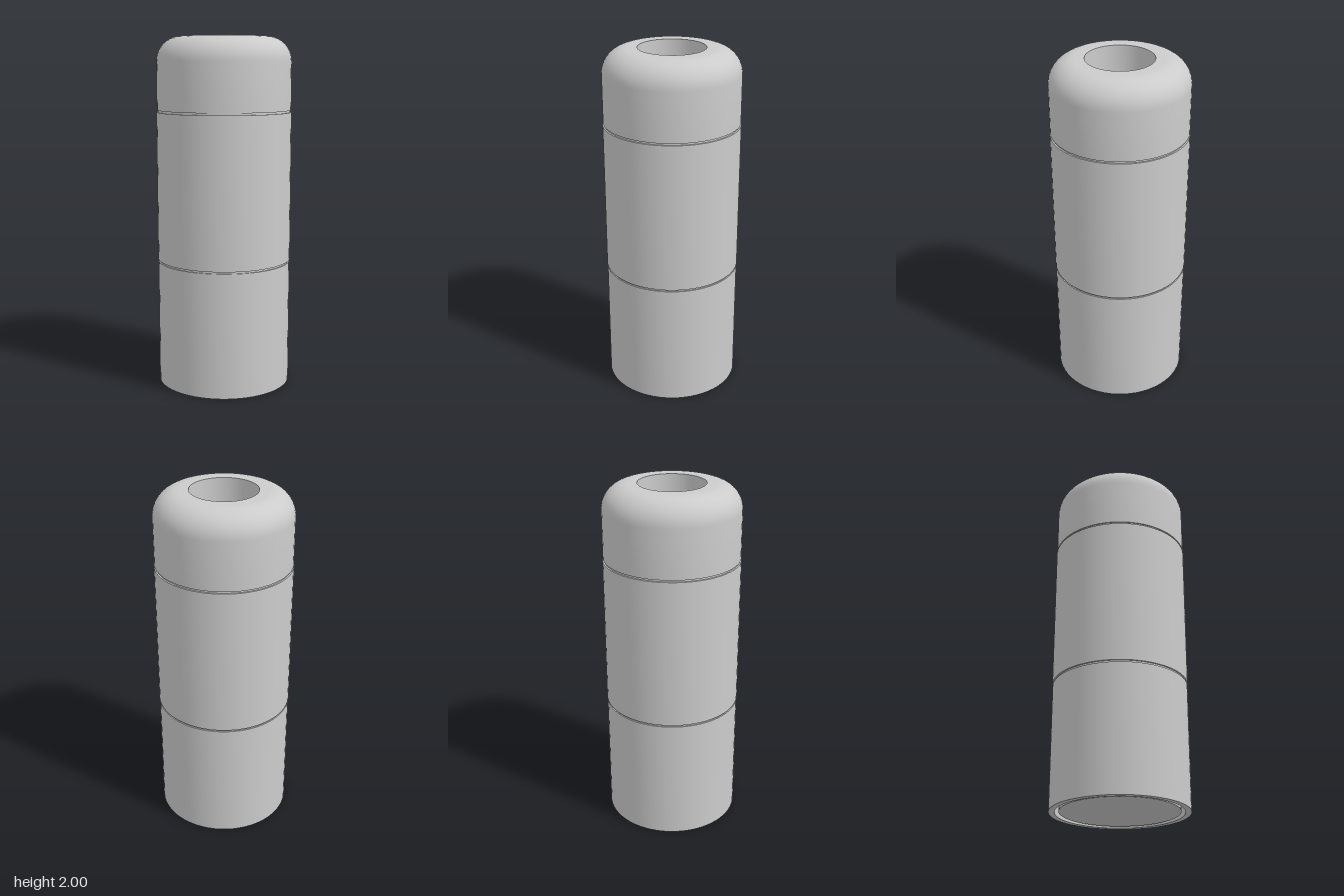
import * as THREE from 'three';
import { toCreasedNormals } from 'three/addons/utils/BufferGeometryUtils.js';

const SEGMENTS = 64;
const material = new THREE.MeshStandardMaterial({ color: 0xcccccc });

// Turned part; the profile runs up the outside and down the inside
function turned(name, profile) {
  const points = profile.map(([r, y]) => new THREE.Vector2(r, y));
  const geometry = toCreasedNormals(new THREE.LatheGeometry(points, SEGMENTS), 0.5);
  const mesh = new THREE.Mesh(geometry, material);
  mesh.name = name;
  return mesh;
}

export function createModel() {
  const group = new THREE.Group();
  group.name = 'capsule';
  const R = 0.383, HOLE = 0.187;

  // Open sleeve around the plug
  group.add(turned('lowerSleeve', [
    [0.35, 0], [R, 0], [R, 0.717], [0.3, 0.717], [0.3, 0.7], [0.35, 0.7], [0.35, 0],
  ]));

  // Inner plug, with a narrow gap to the sleeve
  group.add(turned('innerPlug', [[0, 0.005], [0.328, 0.005], [0.328, 0.73], [0, 0.73]]));

  // Middle band, a hair wider than its neighbours
  group.add(turned('middleBand', [[0, 0.728], [0.385, 0.728], [0.385, 1.577], [0, 1.577]]));

  // Recessed necks that show as thin seams
  [0.7225, 1.5825].forEach((y, i) => {
    const neck = new THREE.Mesh(new THREE.CylinderGeometry(0.376, 0.376, 0.012, SEGMENTS, 1, true), material);
    neck.position.y = y;
    neck.name = i ? 'upperSeam' : 'lowerSeam';
    group.add(neck);
  });

  // Rounded cap with a central bore
  const fillet = 0.14, steps = 10, cap = [[HOLE, 1.588], [R, 1.588]];
  for (let i = 0; i <= steps; i++) {
    const a = (i / steps) * Math.PI / 2;
    cap.push([R - fillet + fillet * Math.cos(a), 2 - fillet + fillet * Math.sin(a)]);
  }
  cap.push([HOLE, 2], [HOLE, 1.57]);
  group.add(turned('roundedCap', cap));

  return group;
}
